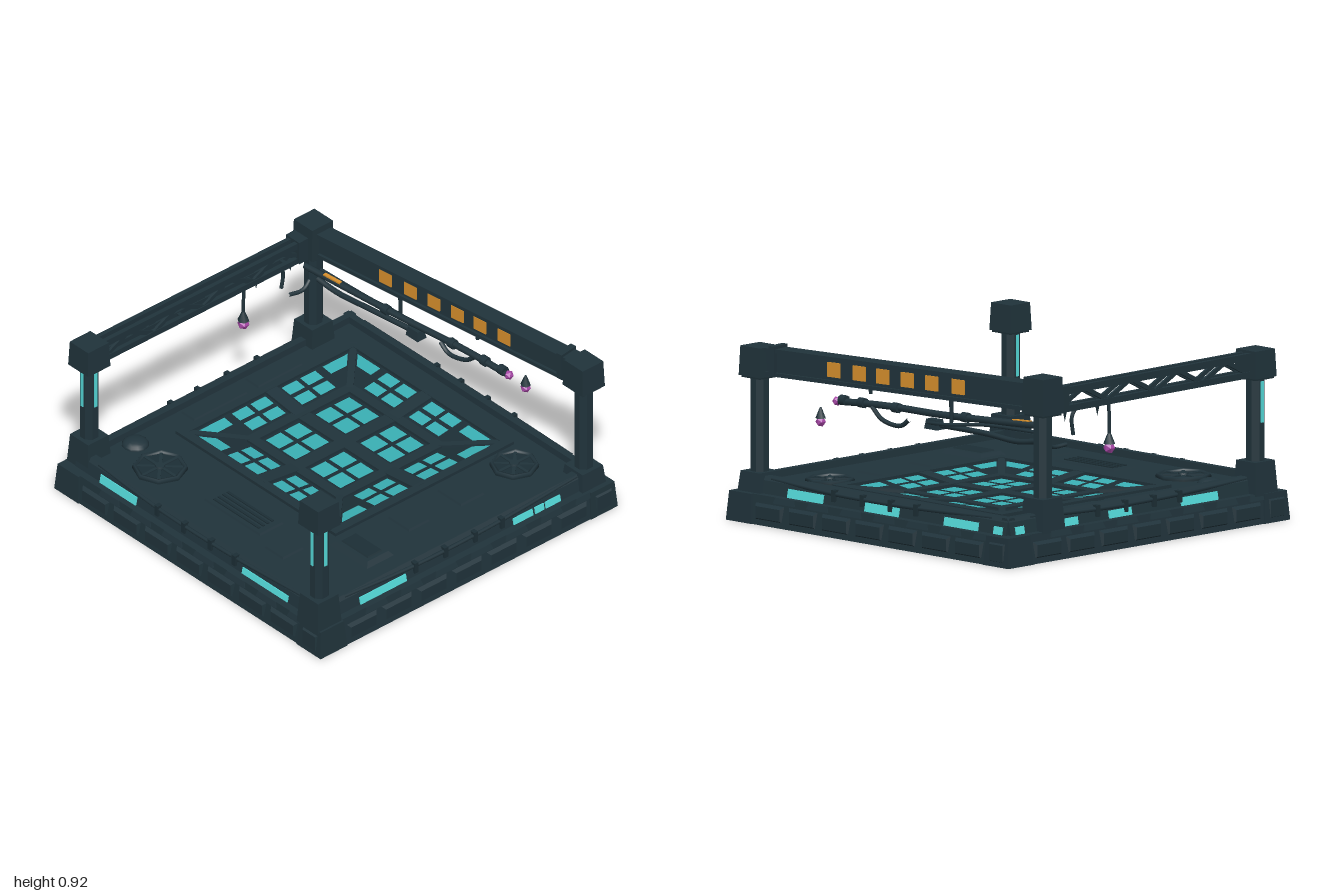
import * as THREE from 'three';

const mat = (name, color, side = THREE.FrontSide) => {
  const m = new THREE.MeshStandardMaterial({ color, side });
  m.name = name;
  return m;
};

export function createModel() {
  const root = new THREE.Group();
  const hull = mat('dark teal metal', 0x20333b);
  const shade = mat('darker metal', 0x1c2e35);
  const glow = mat('cyan light', 0x55dcdb);
  const glass = mat('floor cyan', 0x3aafb4, THREE.DoubleSide);
  const amber = mat('amber light', 0xd68f2c);
  const bud = mat('violet bud', 0xa848a8);
  const V = (x, y, z) => new THREE.Vector3(x, y, z);

  const add = (name, geo, m, x = 0, y = 0, z = 0, parent = root) => {
    const mesh = new THREE.Mesh(geo, m);
    mesh.name = name;
    mesh.position.set(x, y, z);
    parent.add(mesh);
    return mesh;
  };
  // Box standing on y whose top is drawn in by an inset
  const block = (name, w, h, d, inset, m, x, y, z, parent) => {
    const g = new THREE.BoxGeometry(w, h, d).translate(0, h / 2, 0);
    const p = g.attributes.position;
    for (let i = 0; i < p.count; i++) if (p.getY(i) > h / 2) {
      p.setX(i, p.getX(i) * (1 - 2 * inset / w));
      p.setZ(i, p.getZ(i) * (1 - 2 * inset / d));
    }
    g.computeVertexNormals();
    return add(name, g, m, x, y, z, parent);
  };
  // Square bar between two points, in the parent's own space
  const bar = (name, a, b, w, h, m = hull, parent = root) => {
    const mesh = add(name, new THREE.BoxGeometry(w, h, a.distanceTo(b)), m, 0, 0, 0, parent);
    mesh.position.copy(a).lerp(b, 0.5);
    mesh.quaternion.setFromRotationMatrix(new THREE.Matrix4().lookAt(b, a, V(0, 1, 0)));
    return mesh;
  };
  const pipe = (name, pts, r, parent = root) => add(name, new THREE.TubeGeometry(
    new THREE.CatmullRomCurve3(pts.map(p => V(...p))), 20, r, 7), hull, 0, 0, 0, parent);

  // Plinth and deck
  block('plinth', 1.985, 0.15, 1.985, 0.02, hull, 0, 0, 0);
  const deckShape = new THREE.Shape([[-0.88, -0.88], [0.88, -0.88], [0.88, 0.88], [-0.88, 0.88]]
    .map(p => new THREE.Vector2(...p)));
  const cx = -0.135, cz = -0.18;
  deckShape.holes.push(new THREE.Path([[-0.57, -0.57], [-0.57, 0.57], [0.57, 0.57], [0.57, -0.57]]
    .map(([x, z]) => new THREE.Vector2(x + cx, -(z + cz)))));
  add('deck', new THREE.ExtrudeGeometry(deckShape, { depth: 0.06, bevelEnabled: false })
    .rotateX(-Math.PI / 2), hull, 0, 0.14, 0);

  // Four sides: steep rim, plinth pads and light strips [centre, width, height]
  const rimShape = new THREE.Shape([[0.86, 0.14], [0.935, 0.14], [0.92, 0.215], [0.905, 0.235], [0.87, 0.235]]
    .map(p => new THREE.Vector2(...p)));
  const strips = [
    [[-0.59, 0.27, 0.05], [0.51, 0.34, 0.035]],
    [[-0.52, 0.31, 0.04], [0.42, 0.13, 0.036], [0.53, 0.06, 0.036], [0.62, 0.1, 0.036]],
    [[-0.5, 0.25, 0.05], [0.04, 0.24, 0.05], [0.6, 0.24, 0.045], [0.86, 0.06, 0.04]],
    [[-0.85, 0.06, 0.04], [-0.52, 0.16, 0.04], [-0.14, 0.16, 0.04], [0.42, 0.26, 0.045]],
  ];
  strips.forEach((list, k) => {
    const side = new THREE.Group();
    side.name = 'baseSide';
    side.rotation.y = k * Math.PI / 2;
    root.add(side);
    add('rim', new THREE.ExtrudeGeometry(rimShape, { depth: 1.83, bevelEnabled: false })
      .rotateY(-Math.PI / 2), hull, 0.915, 0, 0, side);
    for (const [x, w, h] of list) {
      const s = add('rimLight', new THREE.BoxGeometry(w, h, 0.009), glow, x, 0.17, 0.931, side);
      s.rotation.x = -0.197;
    }
    for (let i = -3; i <= 3; i++) {
      const pad = block('plinthPad', 0.2, 0.018, 0.09, 0.015, hull, i * 0.235, 0.065, 0.978, side);
      pad.rotation.x = Math.PI / 2;
      block('plinthLip', 0.15, 0.03, 0.06, 0.01, hull, i * 0.235 + 0.1, 0.12, 0.955, side);
    }
    // Conduit along the rim with clamps
    pipe('conduit', [[-0.76, 0.225, 0.905], [-0.3, 0.208, 0.925], [0.2, 0.208, 0.925], [0.8, 0.225, 0.905]], 0.011, side);
    for (const x of [-0.3, -0.1, 0.1, 0.28])
      add('clamp', new THREE.BoxGeometry(0.025, 0.06, 0.04), shade, x, 0.2, 0.92, side);
    block('cornerBlock', 0.18, 0.15, 0.18, 0.012, hull, 0.908, 0, 0.908, side);
    block('cornerFace', 0.11, 0.01, 0.1, 0.008, hull, 0.91, 0.07, 0.988, side).rotation.x = Math.PI / 2;
  });

  // Corner posts: x, z, top height, footing height, lit
  for (const [x, z, top, foot, lit] of [[-0.9, 0.85, 0.875, 0.17, 1], [0.895, 0.915, 0.875, 0.17, 1],
    [-0.895, -0.65, 0.92, 0.17, 0], [0.88, -0.875, 0.885, 0.11, 0]]) {
    const post = new THREE.Group();
    post.name = 'post';
    post.position.set(x, 0, z);
    root.add(post);
    block('footing', 0.16, foot, 0.16, 0.012, hull, 0, 0.14, 0, post);
    add('shaft', new THREE.CylinderGeometry(0.05, 0.05, 0.52, 8).rotateY(Math.PI / 8).toNonIndexed(),
      hull, 0, 0.49, 0, post).geometry.computeVertexNormals();
    block('capBase', 0.13, 0.02, 0.13, 0, shade, 0, 0.725, 0, post);
    block('cap', 0.15, top - 0.735, 0.15, 0.006, hull, 0, 0.735, 0, post);
    if (lit) for (const a of [-Math.PI / 2, 0, Math.PI / 2]) {
      const s = add('postLight', new THREE.BoxGeometry(0.018, 0.21, 0.008), glow,
        Math.sin(a) * 0.047, 0.61, Math.cos(a) * 0.047, post);
      s.rotation.y = a;
    }
  }

  // Slanting rear beam with amber lights on both faces
  const beam = new THREE.Group();
  beam.name = 'rearBeam';
  beam.position.set(-0.008, 0.815, -0.762);
  beam.rotation.y = Math.atan2(0.225, 1.775);
  root.add(beam);
  add('beamCore', new THREE.BoxGeometry(1.7, 0.125, 0.065), hull, 0, 0, 0, beam);
  for (const y of [-0.06, 0.06]) add('beamFlange', new THREE.BoxGeometry(1.7, 0.02, 0.095), hull, 0, y, 0, beam);
  for (const x of [-0.385, -0.22, -0.065, 0.09, 0.24, 0.4]) for (const s of [-1, 1])
    add('beamLight', new THREE.BoxGeometry(0.08, 0.075, 0.008), amber, x, 0.003, s * 0.035, beam);
  add('beamBracket', new THREE.BoxGeometry(0.035, 0.15, 0.11), hull, 0.78, 0.01, 0, beam);
  for (const [x, l] of [[-0.3, 0.14], [0.21, 0.04]])
    add('hanger', new THREE.CylinderGeometry(0.012, 0.009, l, 6), hull, x, -0.065 - l / 2, 0.02, beam);

  // Side truss
  for (const x of [-0.925, -0.875]) {
    bar('trussTop', V(x, 0.846, 0.8), V(x, 0.836, -0.6), 0.024, 0.036);
    bar('trussBottom', V(x, 0.755, 0.8), V(x, 0.745, -0.6), 0.024, 0.032);
    for (let i = 0; i < 8; i++) {
      const z = 0.78 - i * 0.168, up = i % 2;
      bar('trussBrace', V(x, up ? 0.84 : 0.755, z), V(x, up ? 0.755 : 0.84, z - 0.168), 0.014, 0.022);
    }
  }
  for (let i = 0; i < 6; i++) bar('trussTie', V(-0.925, 0.75, 0.7 - i * 0.23), V(-0.875, 0.75, 0.7 - i * 0.23), 0.02, 0.02);
  add('trussCollar', new THREE.BoxGeometry(0.1, 0.13, 0.06), hull, -0.9, 0.8, -0.545);

  // Broken pipes under the beam
  pipe('upperPipe', [[-0.9, 0.66, -0.6], [-0.6, 0.652, -0.635], [-0.2, 0.645, -0.68], [0.15, 0.65, -0.715], [0.46, 0.638, -0.745]], 0.018);
  pipe('lowerPipe', [[-0.87, 0.59, -0.64], [-0.72, 0.57, -0.65], [-0.5, 0.585, -0.66], [-0.18, 0.595, -0.69]], 0.015);
  pipe('thinCable', [[-0.85, 0.635, -0.66], [-0.5, 0.63, -0.68], [-0.3, 0.61, -0.72], [-0.14, 0.6, -0.71]], 0.009);
  pipe('looseCable', [[-0.02, 0.6, -0.72], [0.04, 0.562, -0.72], [0.16, 0.58, -0.73], [0.23, 0.635, -0.73]], 0.012);
  pipe('sideCable', [[-0.89, 0.6, -0.64], [-0.87, 0.55, -0.56], [-0.88, 0.553, -0.47]], 0.011);
  block('pipeEnd', 0.09, 0.05, 0.06, 0.008, hull, -0.17, 0.57, -0.69);
  for (const [x, z] of [[-0.36, -0.66], [0.08, -0.71], [0.3, -0.73], [0.42, -0.742]])
    add('pipeCollar', new THREE.CylinderGeometry(0.026, 0.026, 0.04, 8).rotateZ(Math.PI / 2), hull, x, 0.648, z);
  bar('pipeMark', V(-0.77, 0.672, -0.612), V(-0.66, 0.669, -0.624), 0.02, 0.008, amber);

  // Hanging bulbs with violet tips
  const bulb = (x, y, z, s) => {
    add('bulbHood', new THREE.CylinderGeometry(0.005, 0.027 * s, 0.055 * s, 6), hull, x, y + 0.045 * s, z);
    add('bulbTip', new THREE.IcosahedronGeometry(0.027 * s), bud, x, y, z);
  };
  bulb(0.495, 0.54, -0.83, 1);
  bulb(-0.9, 0.502, -0.185, 1.15);
  pipe('bulbCord', [[-0.9, 0.75, -0.19], [-0.9, 0.65, -0.185], [-0.9, 0.55, -0.185]], 0.009);
  pipe('hook', [[-0.9, 0.74, -0.42], [-0.9, 0.69, -0.45], [-0.9, 0.6, -0.44]], 0.01);
  add('pipeTip', new THREE.IcosahedronGeometry(0.025), bud, 0.462, 0.638, -0.747);
  for (const z of [-0.27, -0.5])
    add('trussSpike', new THREE.ConeGeometry(0.015, 0.07, 5).rotateX(Math.PI), hull, -0.9, 0.71, z);

  // Sunken floor window: glass tiles over a tray, divided by bars
  const grid = new THREE.Group();
  grid.name = 'floorWindow';
  grid.position.set(cx, 0, cz);
  root.add(grid);
  const depth = m => 0.172 + 0.033 * THREE.MathUtils.clamp((m - 0.33) / 0.24, 0, 1);
  const gy = (x, z) => depth(Math.max(Math.abs(x), Math.abs(z)));
  const tile = (name, pts, m, lift, parent) => {
    const g = new THREE.BufferGeometry().setFromPoints(pts.map(([x, z]) => V(x, gy(x, z) + lift, z)));
    g.setIndex([0, 1, 2, 0, 2, 3]);
    g.computeVertexNormals();
    add(name, g, m, 0, 0, 0, parent);
  };
  const rect = (a, b, c, d) => [[a, c], [a, d], [b, d], [b, c]];
  const runs = [[-0.28, -0.18], [-0.155, -0.055], [0.055, 0.155], [0.18, 0.28]];
  tile('trayFloor', rect(-0.33, 0.33, -0.33, 0.33), shade, 0, grid);
  for (const [a, b] of runs) for (const [c, d] of runs) tile('glassTile', rect(a, b, c, d), glass, 0.005, grid);
  for (let k = 0; k < 4; k++) {
    const q = new THREE.Group();
    q.name = 'windowSide';
    q.rotation.y = k * Math.PI / 2;
    grid.add(q);
    tile('traySlope', [[-0.33, 0.33], [-0.57, 0.57], [0.57, 0.57], [0.33, 0.33]], shade, 0, q);
    for (const [c, d] of [[0.38, 0.445], [0.47, 0.535]]) {
      for (const [a, b] of runs) tile('glassTile', rect(a, b, c, d), glass, 0.005, q);
      if (c > 0.4) for (const s of [-1, 1]) {
        const p = [[0.33, c], [0.33, d], [d - 0.035, d], [c - 0.035, c]].map(([x, z]) => [s * x, z]);
        tile('cornerTile', s > 0 ? p : p.reverse(), glass, 0.005, q);
      }
    }
    bar('outerBar', V(-0.6, 0.205, 0.575), V(0.6, 0.205, 0.575), 0.05, 0.025, hull, q);
    bar('innerBar', V(-0.34, 0.178, 0.33), V(0.34, 0.178, 0.33), 0.055, 0.02, hull, q);
    bar('hipBar', V(0.33, 0.178, 0.33), V(0.575, 0.208, 0.575), 0.035, 0.02, hull, q);
    bar('slopeBar', V(0, 0.178, 0.33), V(0, 0.208, 0.57), 0.075, 0.02, hull, q);
    bar('spoke', V(0, 0.176, 0), V(0, 0.176, 0.33), 0.075, 0.02, hull, q);
  }

  // Round deck fans
  for (const [x, z, r] of [[-0.56, 0.68, 0.14], [0.605, -0.655, 0.125]]) {
    const fan = new THREE.Group();
    fan.name = 'deckFan';
    fan.position.set(x, 0.2, z);
    root.add(fan);
    add('fanPlate', new THREE.CylinderGeometry(r, r, 0.012, 8), shade, 0, 0.004, 0, fan);
    add('fanRing', new THREE.TorusGeometry(r - 0.012, 0.013, 5, 8).rotateX(Math.PI / 2), hull, 0, 0.01, 0, fan);
    add('fanHub', new THREE.CylinderGeometry(0.025, 0.03, 0.02, 8), hull, 0, 0.014, 0, fan);
    for (let i = 0; i < 8; i++) {
      const a = i * Math.PI / 4;
      bar('fanBlade', V(0, 0.012, 0), V(Math.cos(a) * (r - 0.02), 0.012, Math.sin(a) * (r - 0.02)), 0.016, 0.008, hull, fan);
    }
  }

  // Deck plates, hatch and vent
  add('deckDome', new THREE.SphereGeometry(0.07, 12, 5, 0, Math.PI * 2, 0, Math.PI / 2).scale(1, 0.5, 1), hull, -0.8, 0.2, 0.63);
  block('hatch', 0.28, 0.025, 0.18, 0.02, hull, 0.64, 0.2, 0.4);
  block('hatchPanel', 0.2, 0.008, 0.1, 0.005, shade, 0.64, 0.224, 0.4);
  for (const [x, z, w, d] of [[0, 0.62, 0.42, 0.16], [0.37, 0.68, 0.14, 0.14], [0.6, 0.05, 0.16, 0.14],
    [0.6, -0.3, 0.18, 0.16], [-0.8, 0.1, 0.1, 0.36], [-0.8, -0.3, 0.1, 0.3]])
    block('deckPlate', w, 0.01, d, 0.006, hull, x, 0.2, z);
  for (let i = 0; i < 4; i++) add('ventSlat', new THREE.BoxGeometry(0.34, 0.008, 0.014), shade, 0, 0.212, 0.575 + i * 0.03);
  return root;
}
